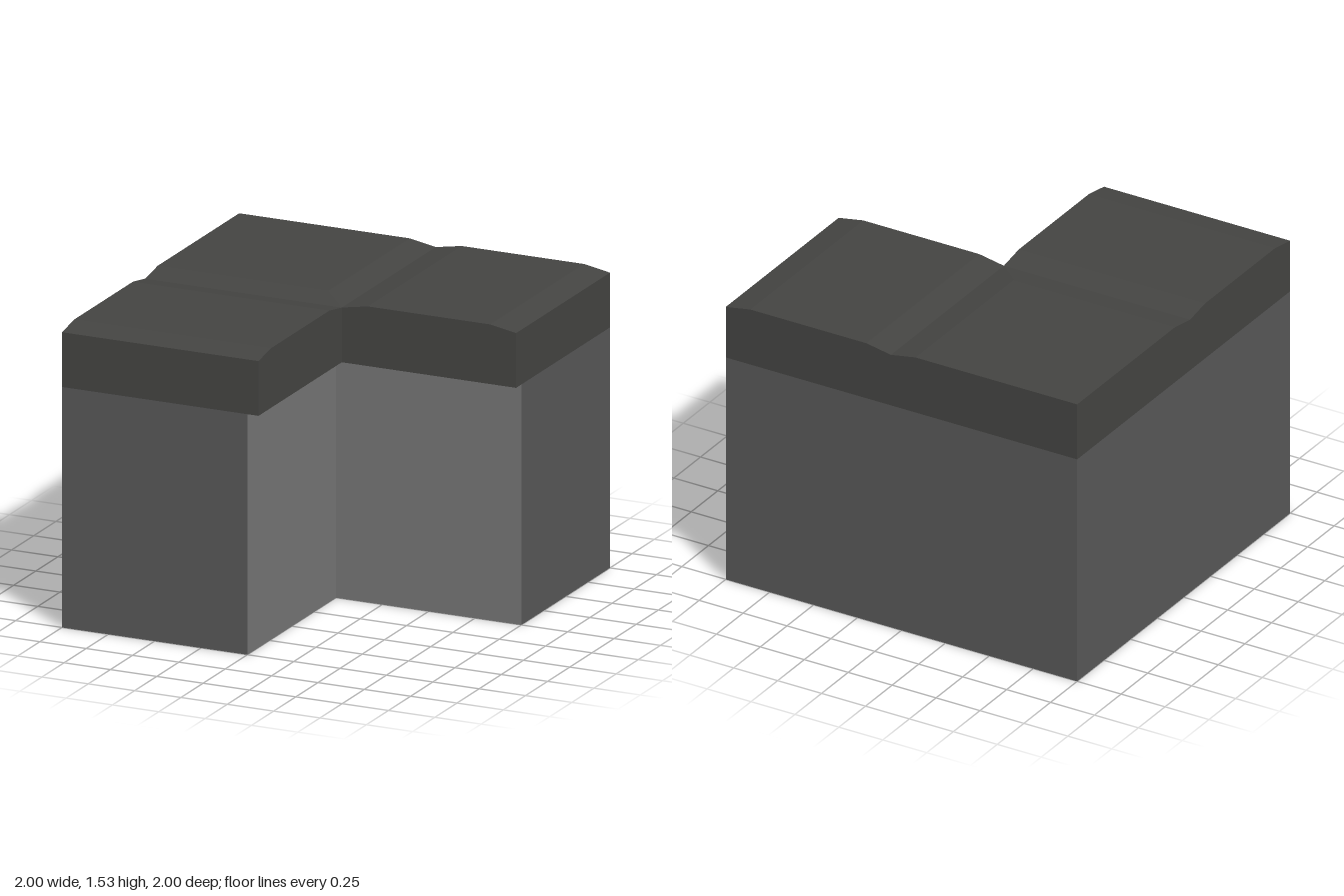
import * as THREE from 'three';
import { ConvexGeometry } from 'three/addons/geometries/ConvexGeometry.js';

const BODY_TOP = 1.23;  // underside of the worktop
const LOW = 1.51;       // worktop height at the joints and ends
const HIGH = 1.535;     // worktop height in the middle
const LIP = 0.06;       // overhang past the cabinet fronts
const BEVEL = 0.14;     // width of each sloping strip

const material = (color) => new THREE.MeshStandardMaterial({ color });

function addMesh(parent, name, geometry, mat) {
  const mesh = new THREE.Mesh(geometry, mat);
  mesh.name = name;
  parent.add(mesh);
  return mesh;
}

// Convex block from [x, y, z] corners
const block = (points) => new ConvexGeometry(points.map((p) => new THREE.Vector3(...p)));

// Arm section swept across the counter depth; place(u, y, v) maps it to x, y, z
function armGeometry(place) {
  const section = [
    [LIP, BODY_TOP], [1, BODY_TOP], [1, LOW],
    [1 - BEVEL, HIGH], [LIP + BEVEL, HIGH], [LIP, LOW],
  ];
  return block(section.flatMap(([u, y]) => [place(u, y, -1), place(u, y, LIP)]));
}

export function createModel() {
  const group = new THREE.Group();
  group.name = 'cornerCabinet';
  const bodyMat = material(0x585858);
  const doorMat = material(0x757575);
  const topMat = material(0x444442);

  // L-shaped cabinet body, drawn in plan (shape y = -z) and raised
  const plan = new THREE.Shape(
    [[-1, -1], [0, -1], [0, 0], [1, 0], [1, 1], [-1, 1]].map((p) => new THREE.Vector2(...p)),
  );
  const body = new THREE.ExtrudeGeometry(plan, { depth: BODY_TOP, bevelEnabled: false });
  body.rotateX(-Math.PI / 2);
  addMesh(group, 'cabinetBody', body, bodyMat);

  // Lighter door fronts on the two inner faces
  const door = new THREE.PlaneGeometry(1, BODY_TOP);
  addMesh(group, 'frontDoor', door, doorMat).position.set(0.5, BODY_TOP / 2, 0.001);
  const sideDoor = addMesh(group, 'sideDoor', door, doorMat);
  sideDoor.position.set(0.001, BODY_TOP / 2, 0.5);
  sideDoor.rotation.y = Math.PI / 2;

  // Worktop: two arms and a mitred corner
  const worktop = new THREE.Group();
  worktop.name = 'worktop';
  group.add(worktop);
  addMesh(worktop, 'worktopLeftArm', armGeometry((u, y, v) => [u, y, v]), topMat);
  addMesh(worktop, 'worktopFrontArm', armGeometry((u, y, v) => [v, y, u]), topMat);

  const inner = LIP - BEVEL;
  const corner = [];
  for (const x of [-1, LIP]) for (const z of [-1, LIP]) corner.push([x, BODY_TOP, z]);
  for (const x of [-1, inner]) for (const z of [-1, inner]) corner.push([x, HIGH, z]);
  corner.push([LIP, LOW, -1], [LIP, LOW, LIP], [-1, LOW, LIP]);
  addMesh(worktop, 'worktopCorner', block(corner), topMat);

  return group;
}
